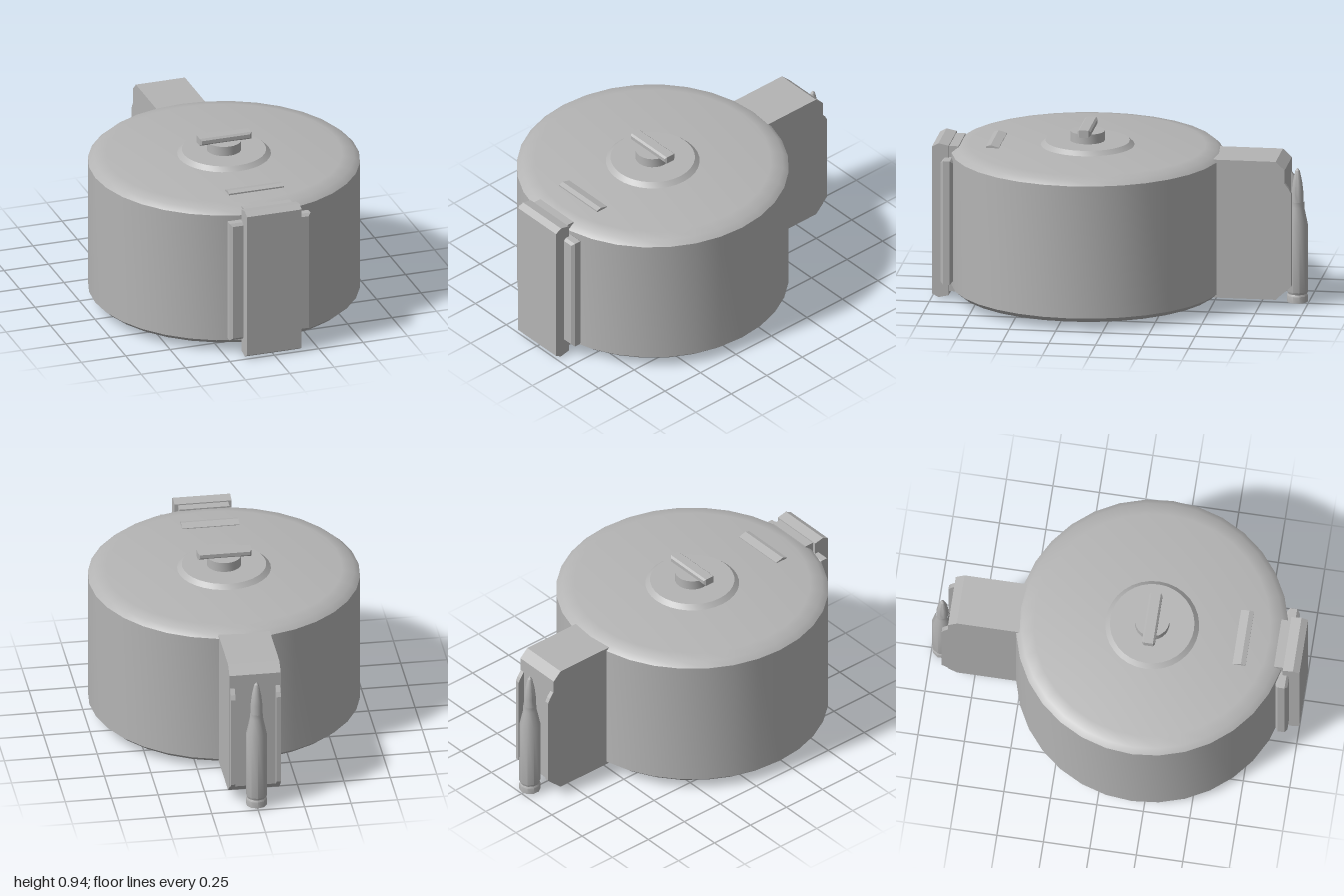
import * as THREE from 'three';
import { toCreasedNormals } from 'three/addons/utils/BufferGeometryUtils.js';

const DRUM_Z = 0.185;
const MID_Y = 0.43;

export function createModel() {
  const model = new THREE.Group();
  model.name = 'drumMagazine';
  const metal = new THREE.MeshStandardMaterial({ color: 0xb4b4b4 });
  metal.name = 'grey metal';

  const add = (name, geometry, x = 0, y = 0, z = 0) => {
    const mesh = new THREE.Mesh(geometry, metal);
    mesh.name = name;
    mesh.position.set(x, y, z);
    model.add(mesh);
    return mesh;
  };

  // Turned part from [radius, height] pairs, bottom to top
  const turned = (points, sides, crease = 0.62) =>
    toCreasedNormals(new THREE.LatheGeometry(points.map(p => new THREE.Vector2(...p)), sides), crease);

  // Side profile of [z, y] pairs, swept across x and centred
  const swept = (points, width) => {
    const shape = new THREE.Shape(points.map(p => new THREE.Vector2(...p)));
    return new THREE.ExtrudeGeometry(shape, { depth: width, bevelEnabled: false })
      .translate(0, 0, -width / 2)
      .rotateY(-Math.PI / 2);
  };

  // Box with chamfered edges, centred on its origin
  const chamferBox = (w, h, d, c) => {
    const a = w / 2 - c, b = h / 2 - c;
    const shape = new THREE.Shape([[-a, -b], [a, -b], [a, b], [-a, b]].map(p => new THREE.Vector2(...p)));
    return new THREE.ExtrudeGeometry(shape, {
      depth: d - 2 * c, bevelThickness: c, bevelSize: c, bevelSegments: 1,
    }).translate(0, 0, c - d / 2);
  };

  // Drum with softened rims
  add('drum', turned([
    [0, 0.028], [0.63, 0.028], [0.695, 0.04], [0.725, 0.066],
    [0.725, 0.794], [0.695, 0.82], [0.63, 0.832], [0, 0.832],
  ], 32), 0, 0, DRUM_Z);

  // Raised hub discs on both covers
  add('hubDiscs', turned([
    [0, 0.005], [0.225, 0.005], [0.25, 0.03], [0.25, 0.832], [0.225, 0.855], [0, 0.855],
  ], 32), 0, 0, DRUM_Z);

  // Winding knob
  add('knobStem', turned([[0.092, 0.85], [0.092, 0.908], [0, 0.908]], 24), 0, 0, DRUM_Z);
  add('knobHandle', chamferBox(0.29, 0.04, 0.07, 0.01), 0, 0.925, DRUM_Z);

  // Front clip, its inner strap and the wider backing plate
  add('frontClip', swept([
    [0.91, 0.012], [0.965, 0], [1, 0.02], [1, 0.828], [0.965, 0.848], [0.91, 0.836],
  ], 0.308));
  add('clipStrap', new THREE.BoxGeometry(0.27, 0.8, 0.06), 0, MID_Y, 0.89);
  add('clipBacking', chamferBox(0.455, 0.68, 0.065, 0.014), 0, MID_Y, 0.912);

  // Clip tabs on the top and bottom covers
  for (const s of [1, -1]) {
    const h = y => MID_Y + s * y;
    add(s > 0 ? 'topTab' : 'bottomTab', swept([
      [0.71, h(0.39)], [0.71, h(0.41)], [0.685, h(0.418)], [0.64, h(0.406)], [0.64, h(0.39)],
    ], 0.308));
  }

  // Feed neck
  add('neck', swept([
    [-0.3, 0.05], [-0.845, 0.05], [-0.893, 0.095],
    [-0.893, 0.765], [-0.845, 0.81], [-0.3, 0.81],
  ], 0.276));

  // Feed lips either side of the round
  for (const s of [1, -1]) {
    add(s > 0 ? 'leftLip' : 'rightLip', swept([
      [-0.885, 0.085], [-0.928, 0.125], [-0.928, 0.635], [-0.915, 0.66], [-0.885, 0.7],
    ], 0.024), s * 0.122);
  }

  // Cartridge standing in the mouth
  add('cartridge', turned([
    [0, 0.01], [0.057, 0.01], [0.057, 0.045], [0.052, 0.055], [0.057, 0.068],
    [0.056, 0.435], [0.036, 0.53], [0.036, 0.56],
  ], 10, 0.7), 0, 0, -0.943);
  add('bulletTip', turned([
    [0.033, 0.55], [0.032, 0.61], [0.025, 0.67], [0.012, 0.73], [0, 0.745],
  ], 10, 0.7), 0, 0, -0.943);

  return model;
}
